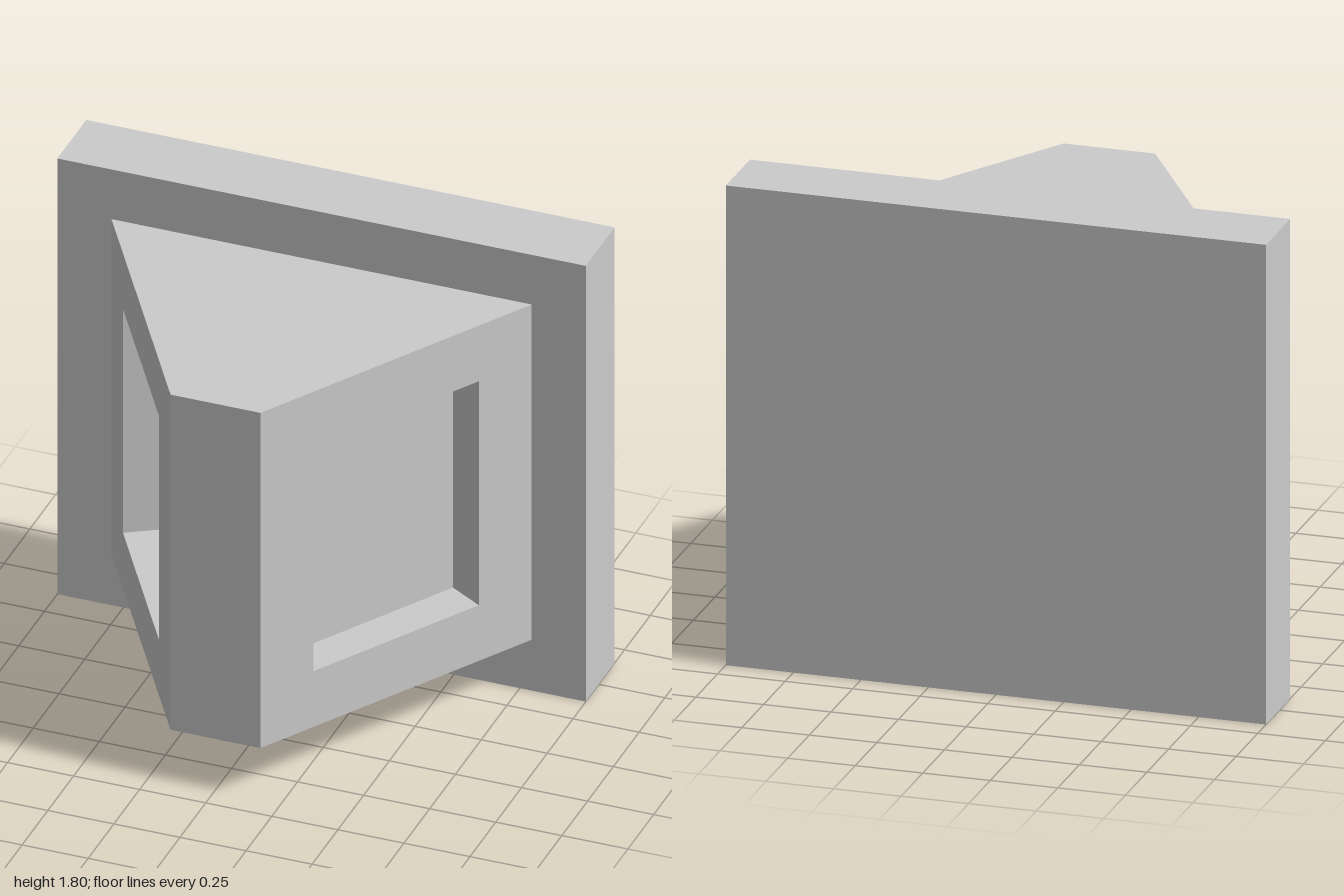
import * as THREE from 'three';
import { mergeGeometries } from 'three/addons/utils/BufferGeometryUtils.js';

const material = new THREE.MeshStandardMaterial({ color: 0xcccccc, flatShading: true });

// Wedge footprint: wide at the back plate, narrow at the front
const BACK = { x: 0.795, z: -0.375 }, FRONT = { x: 0.17, z: 0.655 };
const BOTTOM = 0.21, TOP = 1.595, HEIGHT = TOP - BOTTOM, MID_Y = (TOP + BOTTOM) / 2;

// Recess cut into each slanted side
const RECESS = { w: 0.735, h: 0.925, d: 0.15 };

function addMesh(parent, name, geometry) {
  const mesh = new THREE.Mesh(geometry, material);
  mesh.name = name;
  parent.add(mesh);
  return mesh;
}

function plane(w, h, rx, ry, x, y, z) {
  return new THREE.PlaneGeometry(w, h).rotateX(rx).rotateY(ry).translate(x, y, z);
}

// Slanted wall with a rectangular opening, facing +z before it is turned
function wallGeometry(length) {
  const rect = (Type, w, h) => new Type([
    new THREE.Vector2(-w / 2, -h / 2), new THREE.Vector2(w / 2, -h / 2),
    new THREE.Vector2(w / 2, h / 2), new THREE.Vector2(-w / 2, h / 2),
  ]);
  const shape = rect(THREE.Shape, length, HEIGHT);
  shape.holes.push(rect(THREE.Path, RECESS.w, RECESS.h));
  return new THREE.ShapeGeometry(shape);
}

// Four inner walls and the floor of the recess
function recessGeometry() {
  const { w, h, d } = RECESS, q = Math.PI / 2;
  return mergeGeometries([
    plane(w, h, 0, 0, 0, 0, -d),
    plane(d, h, 0, q, -w / 2, 0, -d / 2),
    plane(d, h, 0, -q, w / 2, 0, -d / 2),
    plane(w, d, -q, 0, 0, -h / 2, -d / 2),
    plane(w, d, q, 0, 0, h / 2, -d / 2),
  ]);
}

export function createModel() {
  const model = new THREE.Group();
  model.name = 'wallMountedWedge';

  // Back plate
  addMesh(model, 'backPlate', new THREE.BoxGeometry(2, 1.8, 0.28)).position.set(0, 0.9, -0.515);

  const wedge = new THREE.Group();
  wedge.name = 'wedge';
  model.add(wedge);

  // Wedge underside, top and narrow front
  const footprint = new THREE.Shape([
    new THREE.Vector2(-BACK.x, BACK.z), new THREE.Vector2(BACK.x, BACK.z),
    new THREE.Vector2(FRONT.x, FRONT.z), new THREE.Vector2(-FRONT.x, FRONT.z),
  ]);
  const underside = new THREE.ShapeGeometry(footprint).rotateX(Math.PI / 2);
  addMesh(wedge, 'wedgeUnderside', underside).position.y = BOTTOM;
  addMesh(wedge, 'wedgeTop', underside.clone().rotateZ(Math.PI)).position.y = TOP;
  addMesh(wedge, 'wedgeFront', new THREE.PlaneGeometry(2 * FRONT.x, HEIGHT))
    .position.set(0, MID_Y, FRONT.z);

  // Slanted sides, each with a centred recess
  const dx = BACK.x - FRONT.x, dz = FRONT.z - BACK.z;
  for (const [name, s] of [['left', 1], ['right', -1]]) {
    const side = new THREE.Group();
    side.name = name + 'Side';
    side.position.set(s * (BACK.x + FRONT.x) / 2, MID_Y, (BACK.z + FRONT.z) / 2);
    side.rotation.y = s * Math.atan2(dz, dx);
    addMesh(side, name + 'Wall', wallGeometry(Math.hypot(dx, dz)));
    addMesh(side, name + 'Recess', recessGeometry());
    wedge.add(side);
  }

  return model;
}
